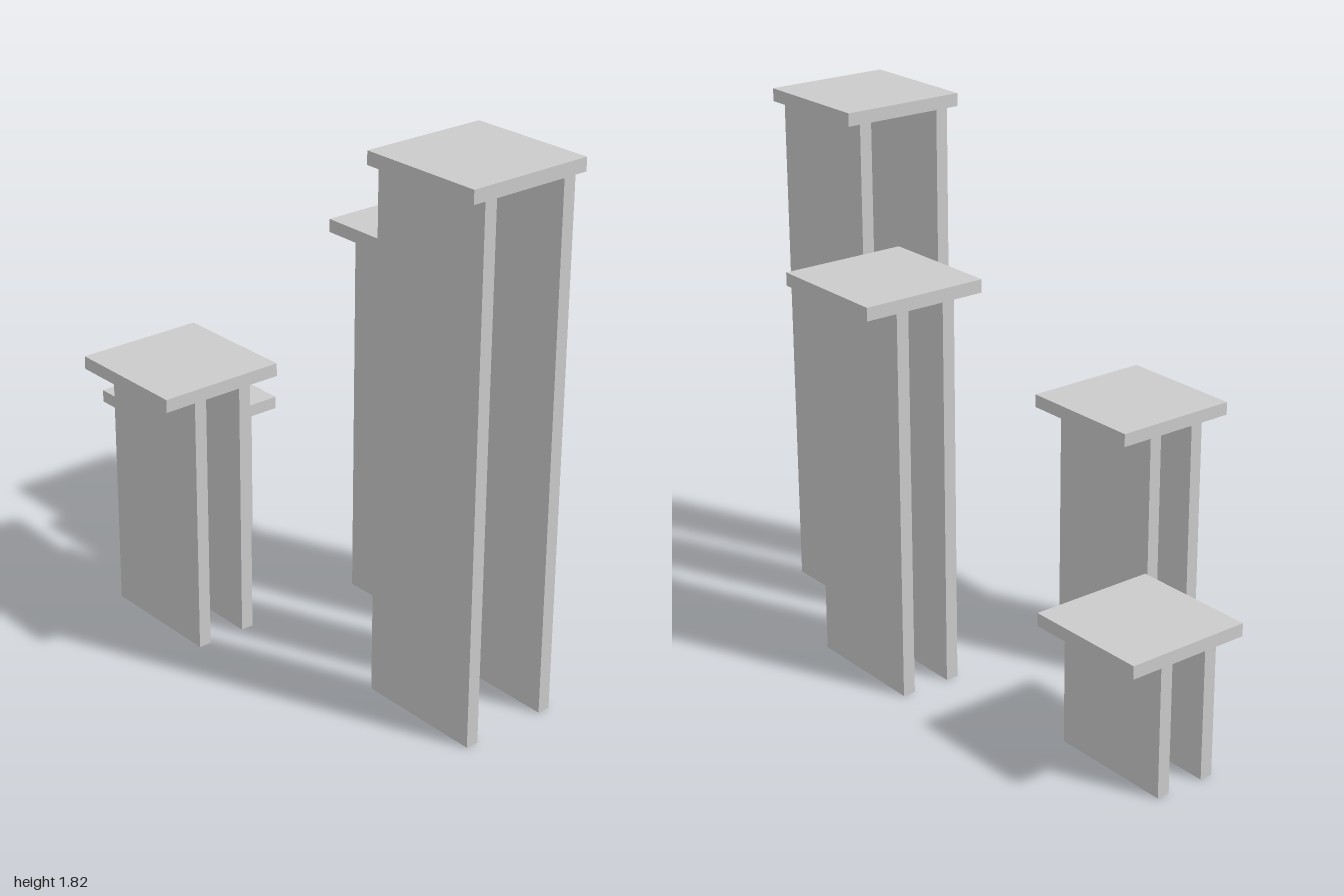
import * as THREE from 'three';

const U = 2 / 45; // board thickness, the module of the whole set
const SIZE = 10 * U; // square top

export function createModel() {
  const group = new THREE.Group();
  const material = new THREE.MeshStandardMaterial({ color: 0xcccccc, flatShading: true });

  const board = (parent, name, w, h, x, y) => {
    const mesh = new THREE.Mesh(new THREE.BoxGeometry(w, h, SIZE), material);
    mesh.name = name;
    mesh.position.set(x, y, 0);
    parent.add(mesh);
  };

  // One stand: a square top on two full-depth upright panels
  const stand = (name, x, z, height, spread) => {
    const g = new THREE.Group();
    g.name = name;
    g.position.set(x, 0, z);
    board(g, 'top', SIZE, U, 0, height + U / 2);
    board(g, 'leftPanel', U, height, spread, height / 2);
    board(g, 'rightPanel', U, height, -spread, height / 2);
    group.add(g);
  };

  // Four stands, tallest at the front (x, z, panel height, panel offset)
  stand('tallestStand', 0, 17.5 * U, 40 * U, 3.5 * U);
  stand('tallStand', 7.5 * U, 5 * U, 30 * U, 2 * U);
  stand('mediumStand', -7.5 * U, -5 * U, 20 * U, 2 * U);
  stand('lowStand', 2.5 * U, -17.5 * U, 10 * U, 2 * U);

  return group;
}
